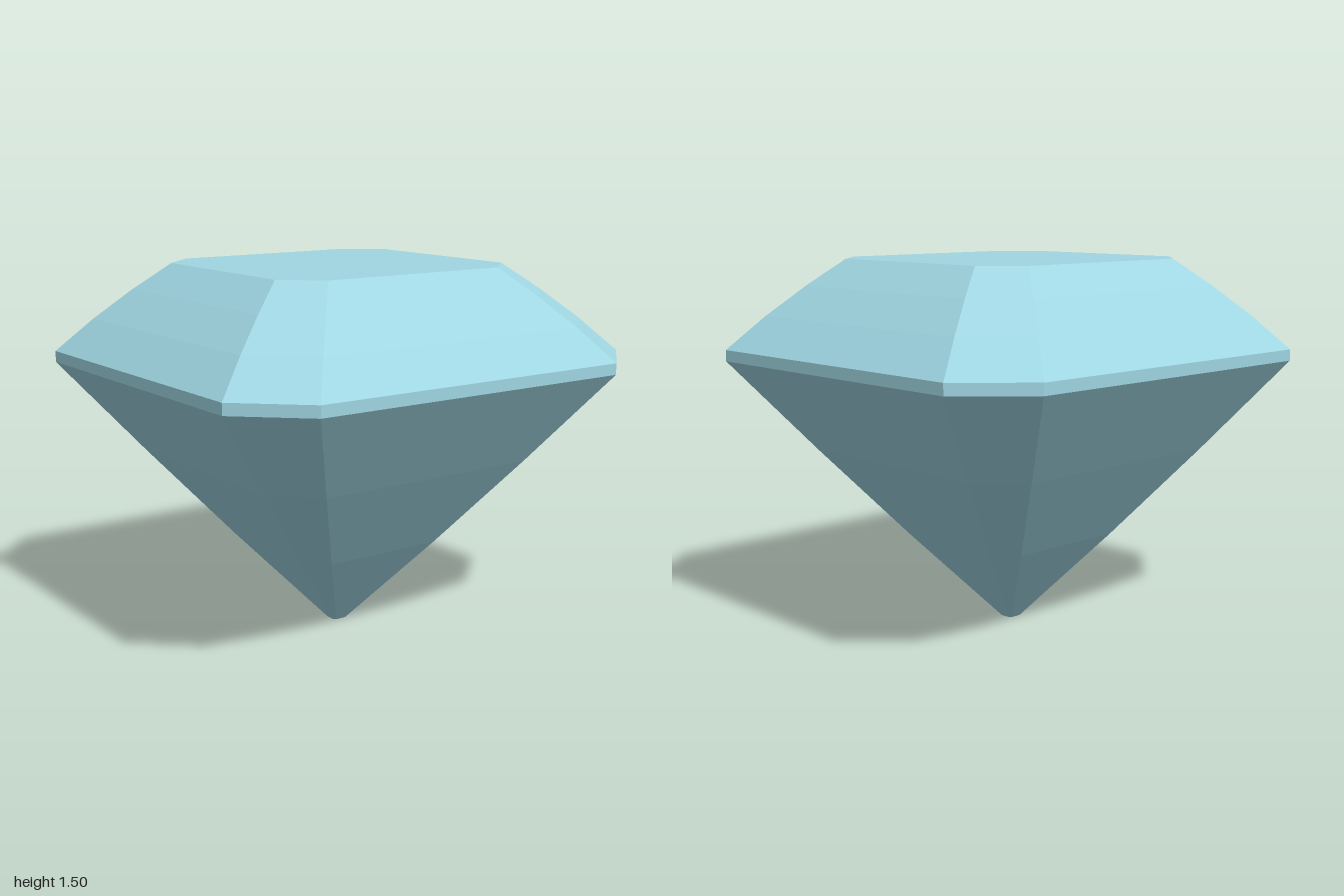
import * as THREE from 'three';

// Half of the girdle outline (x, z); the other half is its 180 degree rotation
const half = [[-0.8, -0.785], [-0.55, -1], [0.75, -0.86], [0.95, -0.595]];
const outline = [...half, ...half.map(([x, z]) => [-x, -z])];

// Flat facets between rings given as [scale, y], from top to bottom
function facetBands(rings) {
  const pos = [];
  const at = (i, [s, y]) => {
    const [x, z] = outline[i % outline.length];
    return [x * s, y, z * s];
  };
  for (let r = 0; r < rings.length - 1; r++) {
    for (let i = 0; i < outline.length; i++) {
      const a = at(i, rings[r]), b = at(i + 1, rings[r]);
      const c = at(i, rings[r + 1]), d = at(i + 1, rings[r + 1]);
      pos.push(...a, ...b, ...c, ...b, ...d, ...c);
    }
  }
  return fromPositions(pos);
}

// Flat polygon closing the stone at the top or bottom
function cap(scale, y, up) {
  const pos = [];
  outline.forEach(([x, z], i) => {
    const [nx, nz] = outline[(i + 1) % outline.length];
    const p = [x * scale, y, z * scale], q = [nx * scale, y, nz * scale];
    pos.push(0, y, 0, ...(up ? q : p), ...(up ? p : q));
  });
  return fromPositions(pos);
}

function fromPositions(pos) {
  const g = new THREE.BufferGeometry();
  g.setAttribute('position', new THREE.Float32BufferAttribute(pos, 3));
  g.computeVertexNormals();
  return g;
}

export function createModel() {
  const gem = new THREE.Group();
  gem.name = 'gemstone';
  const mat = new THREE.MeshStandardMaterial({ color: 0x9fd6e2, flatShading: true });
  mat.name = 'pale aqua';

  const add = (name, geometry) => {
    const mesh = new THREE.Mesh(geometry, mat);
    mesh.name = name;
    gem.add(mesh);
  };

  add('table', cap(0.58, 1.5, true));
  add('crown', facetBands([[0.58, 1.5], [0.72, 1.395], [0.86, 1.278], [1, 1.145]]));
  add('girdle', facetBands([[1, 1.145], [1, 1.1]]));
  add('pavilion', facetBands([[1, 1.1], [0.69, 0.733], [0.37, 0.367], [0.034, 0]]));
  add('culet', cap(0.034, 0, false));
  return gem;
}
